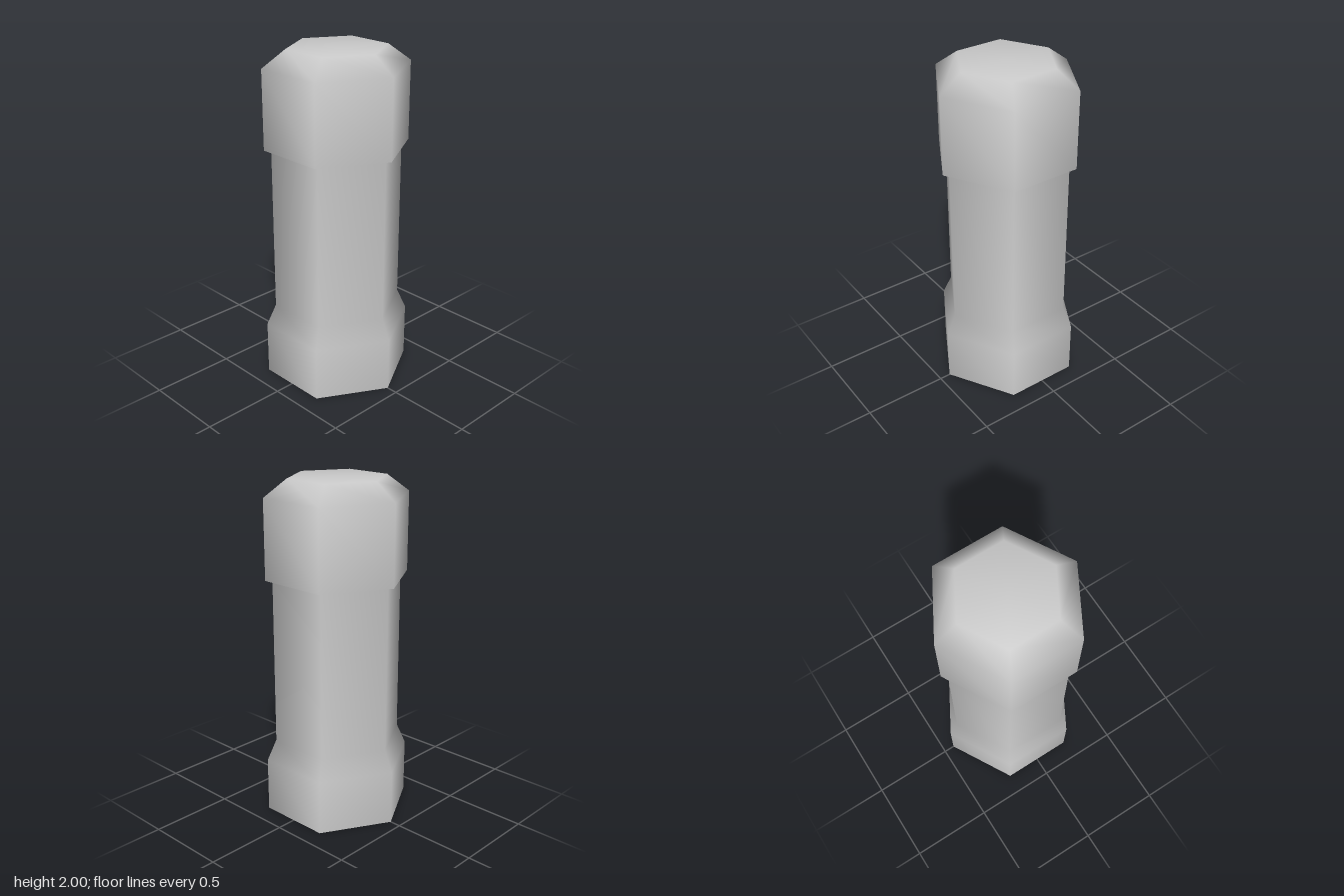
import * as THREE from 'three';

const SIDES = 6;
const DEPTH_SCALE = 1.018; // hexagon is very slightly deeper than regular

// Six-sided turned surface; the profile runs from underside centre, out and up.
function hexPart(name, profile, material) {
  const points = profile.map(([r, y]) => new THREE.Vector2(r, y));
  const geometry = new THREE.LatheGeometry(points, SIDES, Math.PI / 2);
  geometry.scale(1, 1, DEPTH_SCALE);
  const mesh = new THREE.Mesh(geometry, material);
  mesh.name = name;
  return mesh;
}

export function createModel() {
  const material = new THREE.MeshStandardMaterial({ color: 0xcccccc });
  const model = new THREE.Group();
  model.name = 'hexagonalPost';

  // Foot, sloping shoulder and shaft share one smooth skin
  model.add(hexPart('footAndShaft', [
    [0.434, 0], [0.434, 0.325], [0.379, 0.45], [0.379, 1.435],
  ], material));

  // Shallow recess under the foot, inside a thin rim
  model.add(hexPart('footRim', [[0.422, 0], [0.434, 0]], material));
  model.add(hexPart('recessWall', [[0.422, 0.025], [0.422, 0]], material));
  model.add(hexPart('recessFloor', [[0, 0.025], [0.422, 0.025]], material));

  // Cap with an overhanging lip and a bevelled, softly shaded top
  model.add(hexPart('capLip', [[0.379, 1.435], [0.42, 1.435]], material));
  model.add(hexPart('cap', [
    [0.42, 1.435], [0.42, 1.9], [0.287, 2], [0, 2],
  ], material));

  return model;
}
